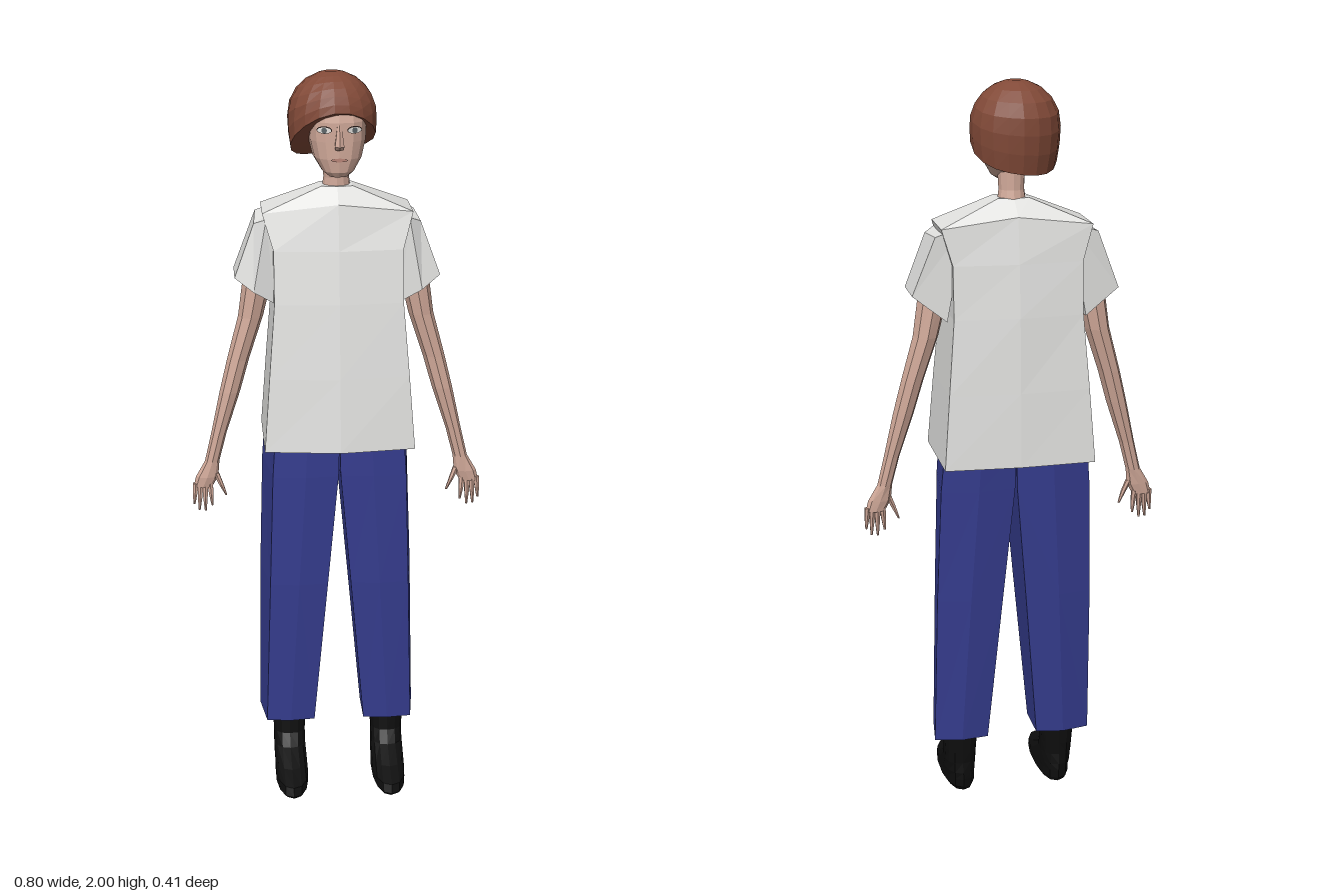
import * as THREE from 'three';

const mat = (name, color, extra = {}) => {
  const m = new THREE.MeshStandardMaterial({ color, flatShading: true, ...extra });
  m.name = name;
  return m;
};

// Ellipse cross-section, running from the front (+z) towards +x; p < 1 squares it off
function ring(cx, y, cz, rx, rz, n = 8, p = 1) {
  const pow = v => Math.sign(v) * Math.abs(v) ** p;
  return Array.from({ length: n }, (_, i) => {
    const a = (i / n) * Math.PI * 2;
    return [cx + rx * pow(Math.sin(a)), y, cz + rz * pow(Math.cos(a))];
  });
}

// Skin over rings listed from bottom to top, capped at both ends; side -1 mirrors in x
function loft(rings, side = 1) {
  const pos = [];
  const tri = (a, b, c) => {
    for (const q of side > 0 ? [a, b, c] : [a, c, b]) pos.push(q[0] * side, q[1], q[2]);
  };
  const n = rings[0].length;
  const centre = r => [0, 1, 2].map(k => r.reduce((s, q) => s + q[k], 0) / n);
  const low = rings[0], high = rings[rings.length - 1];
  const cl = centre(low), ch = centre(high);
  for (let j = 0; j < n; j++) {
    const k = (j + 1) % n;
    for (let i = 0; i < rings.length - 1; i++) {
      const r = rings[i], s = rings[i + 1];
      tri(r[j], r[k], s[k]);
      tri(r[j], s[k], s[j]);
    }
    tri(cl, low[k], low[j]);
    tri(ch, high[j], high[k]);
  }
  const g = new THREE.BufferGeometry();
  g.setAttribute('position', new THREE.Float32BufferAttribute(pos, 3));
  g.computeVertexNormals();
  return g;
}

export function createModel() {
  const model = new THREE.Group();
  model.name = 'standingFigure';
  const skin = mat('skin', 0xd3ab9b);
  const hairMat = mat('brown hair', 0x824a38);
  const shirtMat = mat('white cloth', 0xe2e2e0);
  const denim = mat('blue cloth', 0x363d90);
  const black = mat('black leather', 0x0e0e0e);
  const eyeWhite = mat('eye white', 0xe8e6e2);
  const iris = mat('iris', 0x5c6468);
  const lash = mat('lash', 0x3a2a26);
  const lip = mat('lip', 0xb98578);
  const add = (name, geo, material, parent = model) => {
    const m = new THREE.Mesh(geo, material);
    m.name = name;
    parent.add(m);
    return m;
  };

  // Shirt body: six-sided rings of [y, frontCentreZ, half width, frontZ, backZ, backCentreZ, edge drop]
  add('shirtBody', loft([
    [1.0, 0.105, 0.203, 0.08, -0.195, -0.205, 0],
    [1.2, 0.085, 0.188, 0.065, -0.185, -0.197, 0],
    [1.4, 0.062, 0.172, 0.045, -0.172, -0.188, 0],
    [1.54, 0.042, 0.172, 0.025, -0.162, -0.175, 0],
    [1.66, 0.018, 0.2, -0.005, -0.153, -0.158, 0.025],
    [1.7, -0.025, 0.042, -0.035, -0.1, -0.105, 0],
  ].map(([y, fc, w, f, b, bc, d]) => [
    [0, y, fc], [w, y - d, f], [w, y - d, b], [0, y, bc], [-w, y - d, b], [-w, y - d, f],
  ])), shirtMat);

  for (const s of [1, -1]) {
    const side = s > 0 ? 'left' : 'right';

    // Short sleeve
    add(side + 'Sleeve', loft([
      [[0.225, 1.425, 0.008], [0.275, 1.46, -0.015], [0.275, 1.46, -0.135], [0.185, 1.39, -0.145], [0.168, 1.39, -0.005]],
      [[0.19, 1.62, 0], [0.222, 1.605, -0.025], [0.215, 1.615, -0.147], [0.14, 1.64, -0.153], [0.13, 1.635, -0.004]],
    ], s), shirtMat);

    // Arm down to the palm: [x, y, z, radius x, radius z]
    add(side + 'Arm', loft([
      [0.372, 0.855, -0.058, 0.026, 0.011],
      [0.36, 0.885, -0.058, 0.031, 0.015],
      [0.345, 0.93, -0.06, 0.02, 0.017],
      [0.325, 1.01, -0.062, 0.021, 0.021],
      [0.292, 1.13, -0.067, 0.028, 0.03],
      [0.268, 1.22, -0.073, 0.03, 0.033],
      [0.232, 1.34, -0.078, 0.034, 0.039],
      [0.205, 1.48, -0.078, 0.042, 0.043],
    ].map(a => ring(...a)), s), skin);

    // Fingers and thumb: [base x, base y, tip x, tip y]
    [[0.352, 0.865, 0.347, 0.8], [0.366, 0.86, 0.366, 0.785], [0.379, 0.86, 0.383, 0.787],
      [0.392, 0.865, 0.397, 0.805], [0.335, 0.895, 0.308, 0.83]].forEach(([bx, by, tx, ty], i) => {
      add(side + (i < 4 ? 'Finger' + (i + 1) : 'Thumb'), loft([
        ring(tx, ty, -0.056, 0.003, 0.004, 6),
        ring((bx + tx) / 2, (by + ty) / 2, -0.054, 0.007, 0.008, 6),
        ring(bx, by, -0.058, 0.009, 0.01, 6),
      ], s), skin);
    });

    // Trouser leg: [y, inner x, front outer x, outer x, front z, back z]
    add(side + 'TrouserLeg', loft([
      [0.17, 0.07, 0.205, 0.22, 0.04, -0.1],
      [0.6, 0.032, 0.192, 0.214, 0.063, -0.13],
      [0.92, 0.003, 0.182, 0.204, 0.07, -0.15],
      [1.03, 0, 0.175, 0.195, 0.07, -0.157],
    ].map(([y, i, fo, o, f, b]) => [
      [i, y, f - 0.008], [(i + fo) / 2, y, f], [fo, y, f - 0.008],
      [o, y, b + 0.018], [(i + o) / 2, y, b], [i, y, b + 0.012],
    ]), s), denim);

    // Boot: [y, centre x, half width, back z, front z]
    add(side + 'Boot', loft([
      [0, 0.137, 0.038, -0.072, 0.185],
      [0.012, 0.138, 0.046, -0.08, 0.2],
      [0.035, 0.138, 0.046, -0.082, 0.19],
      [0.055, 0.139, 0.046, -0.08, 0.12],
      [0.085, 0.14, 0.045, -0.076, 0.045],
      [0.12, 0.14, 0.045, -0.078, 0.022],
      [0.19, 0.14, 0.05, -0.082, 0.015],
    ].map(([y, x, w, b, f]) => ring(x, y, (b + f) / 2, w, (f - b) / 2, 14, 0.85)), s), black);

    // Eye: thin layered plates
    const eye = new THREE.Group();
    eye.name = side + 'Eye';
    eye.position.set(0.039 * s, 1.862, 0.0485);
    eye.rotation.y = 0.36 * s;
    model.add(eye);
    const disc = (name, r, sx, sy, y, z, m) => {
      const d = add(name, new THREE.CircleGeometry(r, 16), m, eye);
      d.scale.set(sx, sy, 1);
      d.position.set(0, y, z);
    };
    disc('lashLine', 0.021, 1, 0.46, 0.001, 0, lash);
    disc('eyeWhite', 0.019, 1, 0.42, 0, 0.001, eyeWhite);
    disc('iris', 0.0075, 1, 1, 0, 0.002, iris);
  }

  // Neck and head
  add('neck', loft([
    ring(0, 1.66, -0.075, 0.042, 0.04, 12),
    ring(0, 1.72, -0.07, 0.034, 0.034, 12),
    ring(0, 1.8, -0.065, 0.038, 0.04, 12),
  ]), skin);
  add('head', loft([
    [1.737, 0.025, 0.034, -0.02],
    [1.75, 0.043, 0.043, -0.075],
    [1.785, 0.065, 0.048, -0.12],
    [1.83, 0.076, 0.049, -0.14],
    [1.88, 0.079, 0.05, -0.15],
    [1.9, 0.076, 0.046, -0.15],
    [1.93, 0.06, 0.025, -0.14],
  ].map(([y, w, f, b]) => ring(0, y, (f + b) / 2, w, (f - b) / 2, 16, 0.78))), skin);
  add('nose', loft([
    ring(0, 1.81, 0.047, 0.012, 0.008, 6),
    ring(0, 1.82, 0.05, 0.014, 0.017, 6),
    ring(0, 1.875, 0.047, 0.006, 0.006, 6),
  ]), skin);
  const mouth = add('mouth', new THREE.CircleGeometry(0.022, 12), lip);
  mouth.scale.y = 0.22;
  mouth.position.set(0, 1.784, 0.0495);

  // Hair: a dome whose rim drops from the forehead to the nape
  const rows = [];
  for (let i = 7; i >= 0; i--) {
    rows.push(Array.from({ length: 18 }, (_, j) => {
      const a = (j / 18) * Math.PI * 2;
      const rim = 1.825 + 0.068 * Math.cos(a) + 0.012 * Math.cos(2 * a) + 0.014 * Math.sin(a);
      const u = ((2 - rim) / 0.115) * Math.max(0.01, 1 - Math.cos((i / 7) * Math.PI / 2));
      const r = u < 1 ? Math.sqrt(1 - (1 - u) ** 2) : 1 - 0.12 * (u - 1) ** 2;
      return [-0.012 + 0.118 * r * Math.sin(a), 2 - 0.115 * u, -0.06 + 0.115 * r * Math.cos(a)];
    }));
  }
  add('hair', loft(rows), hairMat);

  return model;
}
